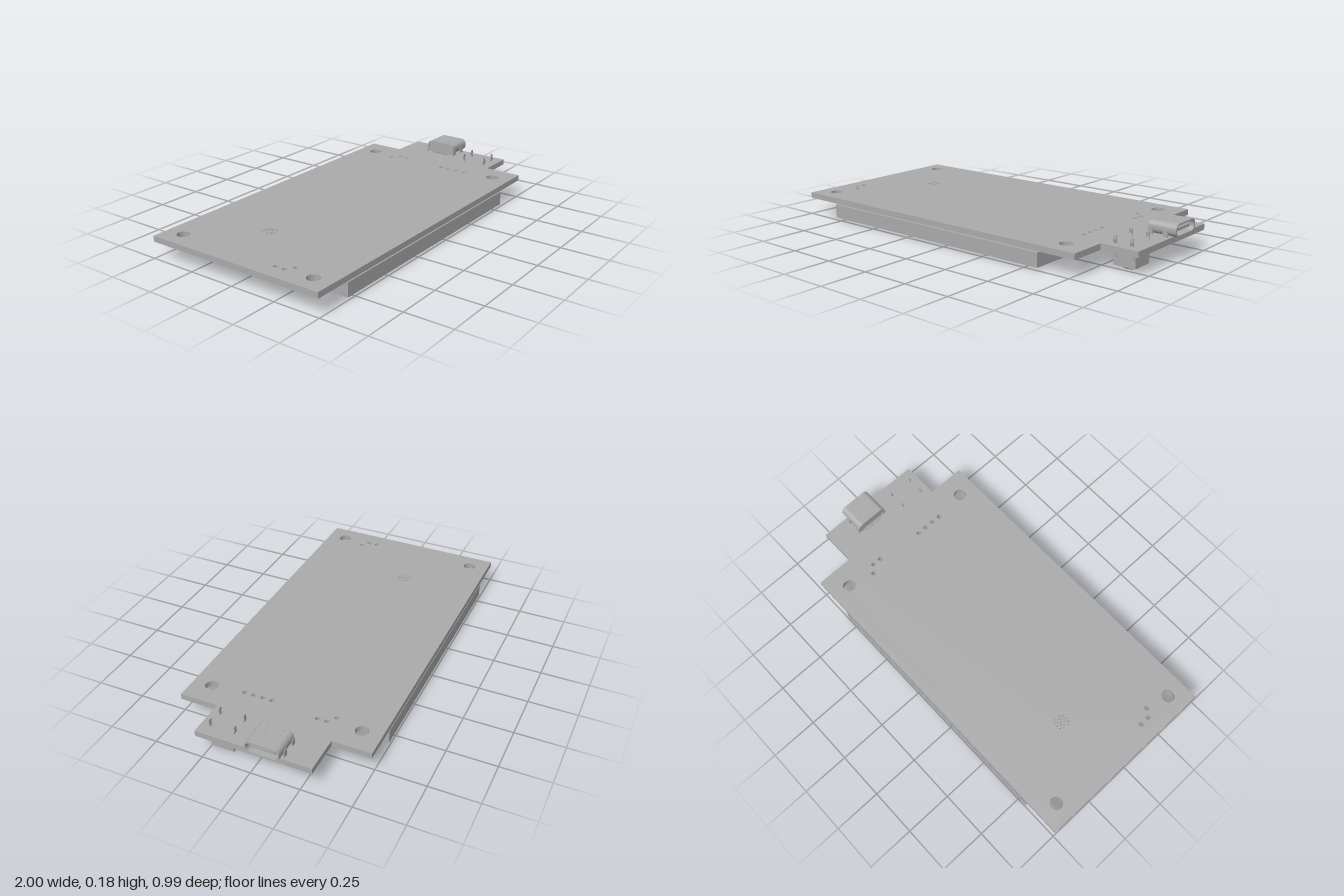
import * as THREE from 'three';

const grey = new THREE.MeshStandardMaterial({ color: 0xaaaaaa });
grey.name = 'plain grey';

function add(parent, name, geo, x = 0, y = 0, z = 0) {
  const m = new THREE.Mesh(geo, grey);
  m.name = name;
  m.position.set(x, y, z);
  parent.add(m);
  return m;
}

// box given by its limits on each axis
function box(parent, name, x0, x1, y0, y1, z0, z1) {
  return add(parent, name, new THREE.BoxGeometry(x1 - x0, y1 - y0, z1 - z0),
    (x0 + x1) / 2, (y0 + y1) / 2, (z0 + z1) / 2);
}

function hole(x, y, r) {
  const p = new THREE.Path();
  p.absarc(x, y, r, 0, Math.PI * 2, true);
  return p;
}

function rectangle(Type, x0, x1, y0, y1) {
  return new Type([[x0, y0], [x1, y0], [x1, y1], [x0, y1]].map(p => new THREE.Vector2(...p)));
}

// extrude a plan drawn as (x, -z) upwards from y = 0
function slab(shape, height) {
  return new THREE.ExtrudeGeometry(shape, { depth: height, bevelEnabled: false, curveSegments: 12 })
    .rotateX(-Math.PI / 2);
}

// rounded rectangle centred on the origin
function rounded(Type, w, h, r) {
  const s = new Type(), a = w / 2 - r, b = h / 2 - r, q = Math.PI / 2;
  s.absarc(a, b, r, 0, q);
  s.absarc(-a, b, r, q, 2 * q);
  s.absarc(-a, -b, r, 2 * q, 3 * q);
  s.absarc(a, -b, r, 3 * q, 4 * q);
  s.closePath();
  return s;
}

// extrude a section drawn in (-z, y) along +x
function alongX(shape, length) {
  return new THREE.ExtrudeGeometry(shape, { depth: length, bevelEnabled: false, curveSegments: 8 })
    .rotateY(Math.PI / 2);
}

function circuitBoard() {
  const outline = [[-1, -0.495], [0.775, -0.495], [0.775, -0.297], [0.972, -0.297],
    [0.972, 0.297], [0.775, 0.297], [0.775, 0.495], [-1, 0.495]];
  const s = new THREE.Shape(outline.map(p => new THREE.Vector2(...p)));
  const drill = (x, z, r) => s.holes.push(hole(x, -z, r));
  // mounting holes
  for (const x of [-0.904, 0.657]) for (const z of [-0.395, 0.395]) drill(x, z, 0.033);
  // wiring holes
  for (const [x, z] of [[0.623, -0.255], [0.663, -0.222], [0.663, -0.175],
    [0.637, 0.077], [0.637, 0.126], [0.637, 0.175], [0.637, 0.224],
    [-0.912, 0.19], [-0.912, 0.24], [-0.873, 0.27]]) drill(x, z, 0.012);
  // sound grille
  for (let row = -2; row <= 2; row++) {
    const n = row % 2 ? 4 : 3;
    for (let i = 0; i < n; i++) drill(-0.633 + (i - (n - 1) / 2) * 0.019, -0.093 + row * 0.0145, 0.005);
  }
  return slab(s, 0.03);
}

function display() {
  const g = new THREE.Group();
  g.name = 'display';
  // body with a shallow window underneath
  box(g, 'displayBody', -0.797, 0.57, 0.017, 0.085, -0.495, 0.495);
  const frame = rectangle(THREE.Shape, -0.797, 0.57, -0.495, 0.495);
  frame.holes.push(rectangle(THREE.Path, -0.748, 0.37, -0.443, 0.443));
  add(g, 'displayFrame', slab(frame, 0.004), 0, 0.013, 0);
  box(g, 'displayBackPad', 0.22, 0.57, 0.085, 0.089, -0.39, 0.39);
  return g;
}

function pushButton() {
  const g = new THREE.Group();
  g.name = 'pushButton';
  const cx = 0.867, cz = 0.185;
  box(g, 'buttonBody', cx - 0.058, cx + 0.058, 0.02, 0.092, cz - 0.058, cz + 0.058);
  box(g, 'buttonCover', cx - 0.056, cx + 0.056, 0.016, 0.02, cz - 0.059, cz + 0.059);
  const profile = [[0, 0.003], [0.038, 0.003], [0.041, 0.006], [0.041, 0.012], [0.048, 0.012], [0.048, 0.016]];
  add(g, 'buttonPlunger', new THREE.LatheGeometry(profile.map(p => new THREE.Vector2(...p)), 32), cx, 0, cz);
  // bent legs passing up through the board
  const path = [[0.059, 0.058], [0.064, 0.058], [0.064, 0.118], [0.069, 0.138], [0.066, 0.16],
    [0.062, 0.16], [0.065, 0.138], [0.059, 0.118]];
  for (const side of [-1, 1]) for (const x of [0.82, 0.908]) {
    const s = new THREE.Shape(path.map(p => new THREE.Vector2(-side * p[0], p[1])));
    add(g, 'buttonLeg', alongX(s, 0.018), x - 0.009, 0, cz);
  }
  // side clips
  for (const x of [0.822, 0.912]) for (const side of [-1, 1])
    box(g, 'buttonClip', x - 0.008, x + 0.008, 0.055, 0.062, cz + side * 0.06 - 0.003, cz + side * 0.06 + 0.003);
  return g;
}

function usbSocket() {
  const g = new THREE.Group();
  g.name = 'socket';
  const cy = 0.155, cz = -0.064;
  // hollow metal shell
  const shell = rounded(THREE.Shape, 0.175, 0.064, 0.028);
  shell.holes.push(rounded(THREE.Path, 0.159, 0.05, 0.022));
  add(g, 'socketShell', alongX(shell, 0.145), 0.853, cy, cz);
  add(g, 'socketCore', alongX(rounded(THREE.Shape, 0.159, 0.05, 0.022), 0.045), 0.857, cy, cz);
  // contact tongue
  box(g, 'socketTongue', 0.9, 0.985, cy - 0.007, cy + 0.007, cz - 0.06, cz + 0.06);
  box(g, 'tongueCollar', 0.9, 0.925, cy - 0.013, cy + 0.013, cz - 0.067, cz + 0.067);
  for (const y of [-1, 1]) for (let i = 0; i < 12; i++) {
    const z = cz + (i - 5.5) * 0.009;
    box(g, 'contactStrip', 0.925, 0.975, cy + y * 0.008 - 0.002, cy + y * 0.008 + 0.002, z - 0.0025, z + 0.0025);
  }
  // solder contacts at the rear
  for (let i = 0; i < 12; i++) {
    const z = cz + (i - 5.5) * 0.0088;
    box(g, 'solderContact', 0.843, 0.866, 0.12, 0.126, z - 0.003, z + 0.003);
  }
  // mounting tabs and spring dimples on the shell
  for (const side of [-1, 1]) {
    for (const x of [0.866, 0.944]) {
      const z = cz + side * 0.088;
      box(g, 'shellTab', x - 0.012, x + 0.012, 0.1, 0.155, z - 0.004, z + 0.004);
    }
    for (const x of [0.865, 0.902])
      box(g, 'shellSpring', x - 0.008, x + 0.008, 0.186, 0.188, cz + side * 0.038 - 0.006, cz + side * 0.038 + 0.006);
  }
  return g;
}

export function createModel() {
  const model = new THREE.Group();
  model.name = 'displayBoard';
  add(model, 'circuitBoard', circuitBoard(), 0, 0.091, 0);
  model.add(display(), pushButton(), usbSocket());
  return model;
}
